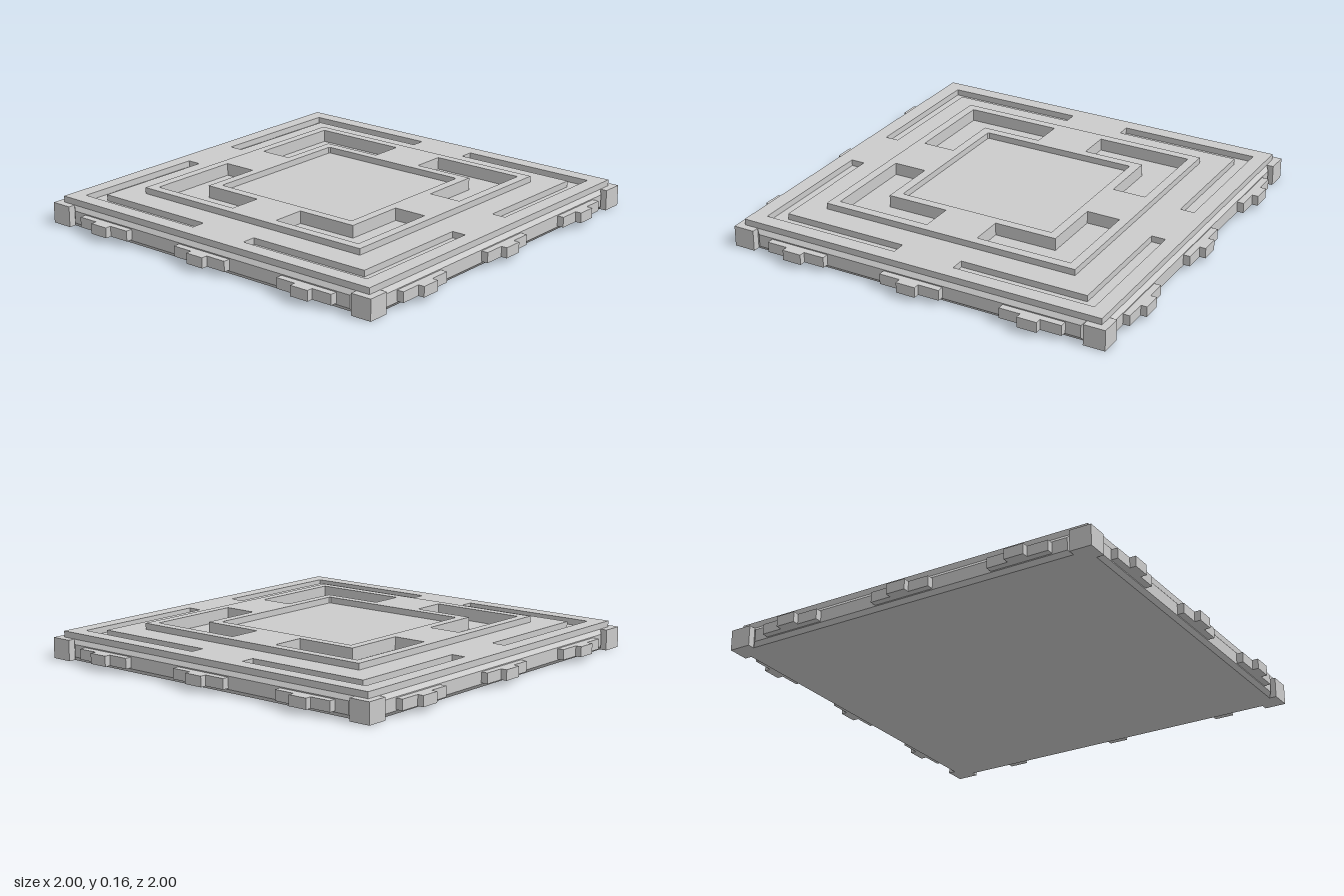
import * as THREE from 'three';

const material = new THREE.MeshStandardMaterial({ color: 0xcccccc, flatShading: true });

const outline = (points, Type = THREE.Path) =>
  new Type(points.map(([x, y]) => new THREE.Vector2(x, y)));

const square = (h, Type) => outline([[-h, -h], [h, -h], [h, h], [-h, h]], Type);

// Square with tiny cut corners
const cutSquare = (h, c) => outline([
  [-h + c, -h], [h - c, -h], [h, -h + c], [h, h - c],
  [h - c, h], [-h + c, h], [-h, h - c], [-h, -h + c]]);

// Four mirrored L-shaped openings: outer edge, inner edge, end of the arms
function cornerSlots(outer, inner, end) {
  const slots = [];
  for (const sx of [-1, 1]) for (const sy of [-1, 1]) {
    slots.push(outline([
      [outer, outer], [end, outer], [end, inner],
      [inner, inner], [inner, end], [outer, end],
    ].map(([x, y]) => [x * sx, y * sy])));
  }
  return slots;
}

// Flat square slab between two heights, pierced by the given openings
function slab(name, half, bottom, top, holes = []) {
  const shape = square(half, THREE.Shape);
  shape.holes.push(...holes);
  const geometry = new THREE.ExtrudeGeometry(shape, { depth: top - bottom, bevelEnabled: false });
  geometry.rotateX(-Math.PI / 2).translate(0, bottom, 0);
  const mesh = new THREE.Mesh(geometry, material);
  mesh.name = name;
  return mesh;
}

function block(name, w, h, d, x, y, z) {
  const mesh = new THREE.Mesh(new THREE.BoxGeometry(w, h, d), material);
  mesh.name = name;
  mesh.position.set(x, y, z);
  return mesh;
}

// Bevelled panel whose outer face is smaller than its base
function sidePanel() {
  const geometry = new THREE.BoxGeometry(1.7, 0.1, 0.017);
  const p = geometry.attributes.position;
  for (let i = 0; i < p.count; i++) {
    if (p.getZ(i) > 0) {
      p.setX(i, Math.sign(p.getX(i)) * 0.83);
      p.setY(i, Math.sign(p.getY(i)) * 0.03);
    }
  }
  geometry.computeVertexNormals();
  const mesh = new THREE.Mesh(geometry, material);
  mesh.name = 'bevelledPanel';
  mesh.position.set(0, 0.05, 0.9285);
  return mesh;
}

export function createModel() {
  const model = new THREE.Group();
  model.name = 'floorTile';

  // Stacked slabs; the openings reveal the slab beneath
  const innerSlots = () => cornerSlots(0.605, 0.44, 0.132);
  model.add(
    slab('base', 0.92, 0, 0.1),
    slab('upperPlate', 0.92, 0.1, 0.13, [...cornerSlots(0.847, 0.778, 0.153), ...innerSlots()]),
    slab('raisedCentre', 0.65, 0.13, 0.16, [cutSquare(0.395, 0.006), ...innerSlots()]),
  );

  // Corner blocks
  for (const sx of [-1, 1]) for (const sz of [-1, 1]) {
    model.add(block('cornerBlock', 0.105, 0.1, 0.105, sx * 0.9025, 0.05, sz * 0.9025));
  }

  // Four sides, each with a bevelled panel and three stepped studs
  for (let i = 0; i < 4; i++) {
    const side = new THREE.Group();
    side.name = 'side';
    side.add(sidePanel());
    for (const x of [-0.605, 0, 0.605]) {
      side.add(
        block('studBase', 0.304, 0.05, 0.05, x, 0.05, 0.945),
        block('studTip', 0.096, 0.05, 0.03, x, 0.05, 0.985),
      );
    }
    side.rotation.y = i * Math.PI / 2;
    model.add(side);
  }
  return model;
}
